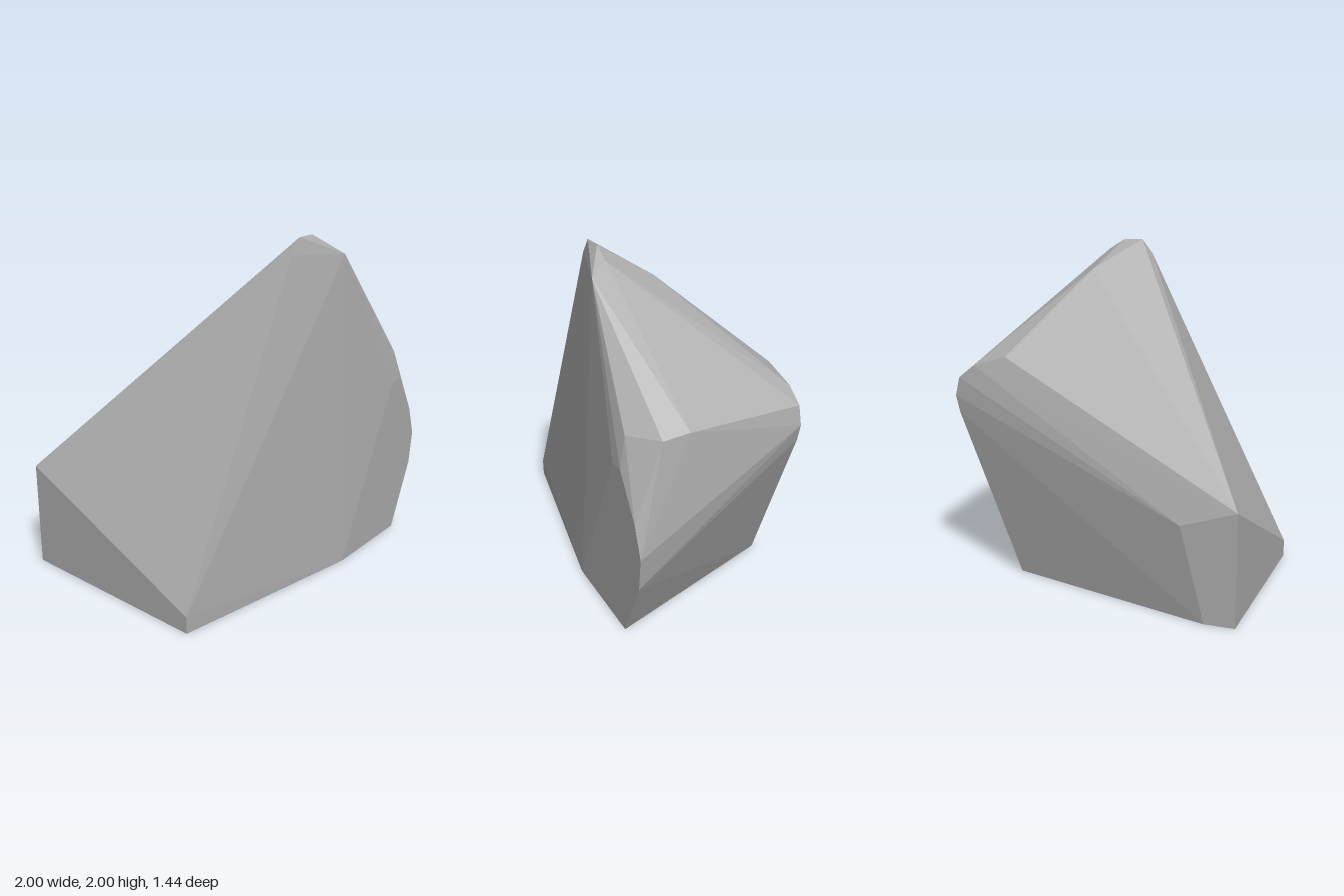
import * as THREE from 'three';
import { ConvexGeometry } from 'three/addons/geometries/ConvexGeometry.js';

// Corners that share a depth are listed together as [x, y] pairs.
const layers = [
  // back edge, left side
  [-0.72, [[-0.96, 0], [-0.96, 0.63], [-0.65, 0.53], [-0.79, 0]]],
  // worn back right corner
  [-0.33, [[0.46, 0], [0.8, 0.84], [0.86, 0.97], [0.885, 1.07], [0.86, 1.18], [0.76, 1.26], [0.55, 1.32]]],
  // ridge running down from the peak
  [0.07, [[0.34, 1.67]]],
  [0.22, [[0.2, 1.82]]],
  // right shoulder
  [0.38, [[0.91, 1.22]]],
  [0.54, [[0.91, 1.21]]],
  [0.68, [[0.76, 1.21]]],
  // peak and front left corner
  [0.5, [[-1, 0], [-1, 0.1], [-0.1, 1.91], [-0.03, 2], [0.09, 2], [0.19, 1.94]]],
  [0.61, [[0.26, 1.88]]],
  // front right face
  [0.72, [[0.19, 0], [0.79, 0], [0.975, 0.4], [1, 0.6], [0.94, 0.78], [0.78, 1.03], [0.69, 1.02]]],
];

export function createModel() {
  const model = new THREE.Group();
  model.name = 'rock';
  const stone = new THREE.MeshStandardMaterial({ color: 0xaaaaaa });
  stone.name = 'grey stone';

  // The boulder is the faceted solid spanned by all its corners.
  const corners = layers.flatMap(([z, points]) => points.map(([x, y]) => new THREE.Vector3(x, y, z)));
  const boulder = new THREE.Mesh(new ConvexGeometry(corners), stone);
  boulder.name = 'boulder';
  model.add(boulder);
  return model;
}
